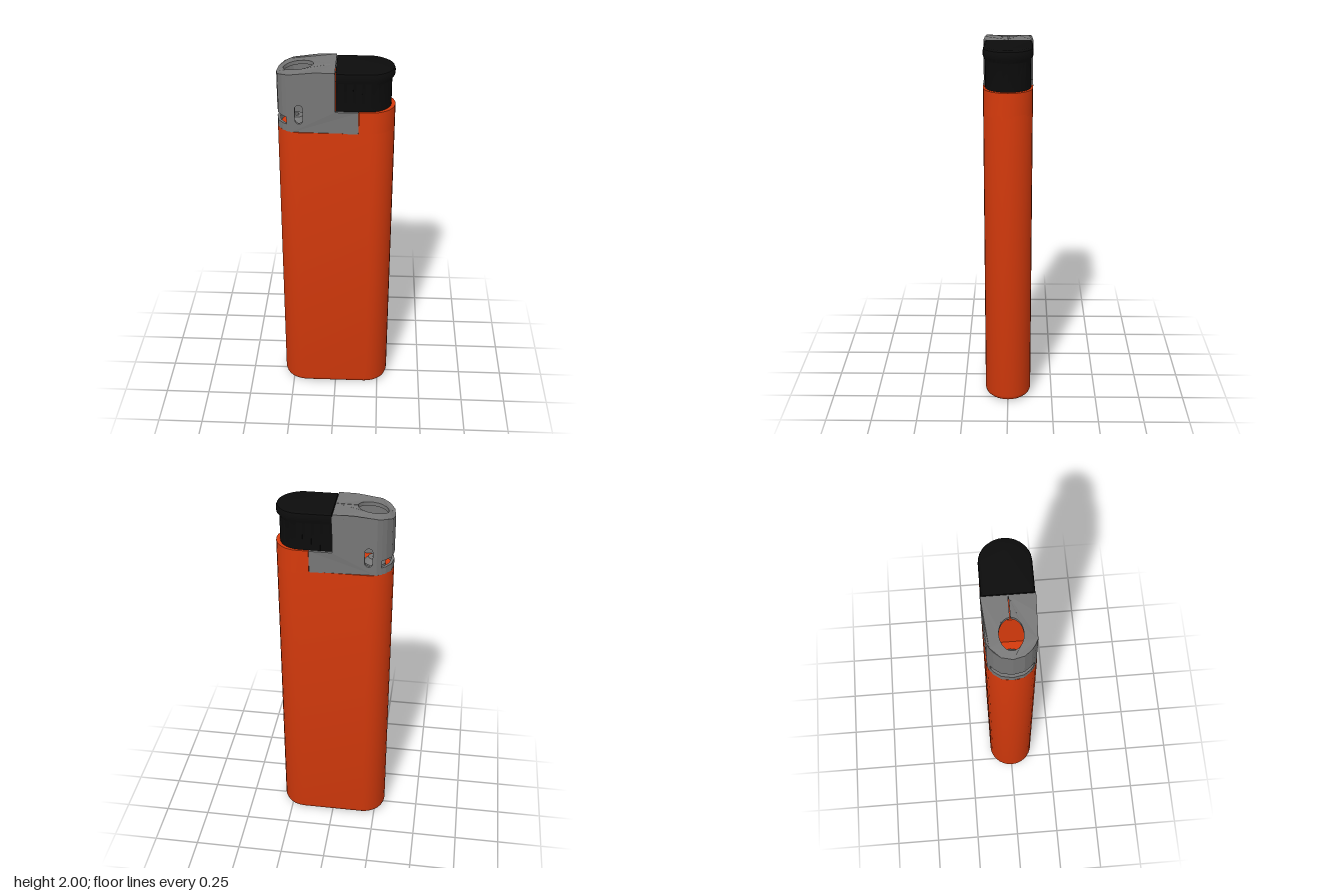
import * as THREE from 'three';
import { toCreasedNormals } from 'three/addons/utils/BufferGeometryUtils.js';

const orange = new THREE.MeshStandardMaterial({ color: 0xd63a0c });
const black = new THREE.MeshStandardMaterial({ color: 0x0c0c0c });
const grey = new THREE.MeshStandardMaterial({ color: 0x777777 });

const HX = 0.305, HZ = 0.128, CX = 0.18;

// Half depth of the rounded plan at a given x
function depthAt(x) {
  const d = Math.max(0, Math.abs(x) - CX) / (HX - CX);
  return HZ * Math.sqrt(Math.max(0, 1 - d * d));
}

// Rounded plan, counter-clockwise from above, keeping only x >= minX
function plan(minX = -1, n = 14) {
  const pts = [];
  for (const s of [1, -1]) {
    if (s < 0 && minX > -HX) continue;
    for (let i = 0; i <= n; i++) {
      const a = -Math.PI / 2 + (Math.PI * i) / n;
      pts.push([s * (CX + (HX - CX) * Math.cos(a)), -s * HZ * Math.sin(a)]);
    }
  }
  if (minX > -HX) {
    pts.push([minX, -depthAt(minX)], [minX, depthAt(minX)]);
  }
  return pts;
}

// Closed stack of plan sections; each level is [y, inset in x, inset in z]
function loft(outline, levels) {
  const n = outline.length, pos = [], idx = [];
  for (const [y, ix, iz = ix] of levels) {
    for (const [x, z] of outline) pos.push(x * (1 - ix / HX), y, z * (1 - iz / HZ));
  }
  const mid = outline.reduce((s, p) => s + p[0], 0) / n;
  const last = levels.length - 1, c = n * levels.length;
  pos.push(mid, levels[0][0], 0, mid, levels[last][0], 0);
  for (let i = 0; i < n; i++) {
    const j = (i + 1) % n;
    for (let k = 0; k < last; k++) {
      const a = k * n + i, b = k * n + j;
      idx.push(a, b, b + n, a, b + n, a + n);
    }
    idx.push(c, j, i, c + 1, last * n + i, last * n + j);
  }
  const g = new THREE.BufferGeometry();
  g.setAttribute('position', new THREE.Float32BufferAttribute(pos, 3));
  g.setIndex(idx);
  return toCreasedNormals(g, 0.6);
}

// Height of the hood's sloping top
const SLOPE = [[-0.305, 1.955], [-0.285, 1.972], [-0.225, 1.985], [-0.1, 2], [0.2, 2]];
function topY(x) {
  for (let i = 1; i < SLOPE.length; i++) {
    const [x0, y0] = SLOPE[i - 1], [x1, y1] = SLOPE[i];
    if (x <= x1) return y0 + ((y1 - y0) * (x - x0)) / (x1 - x0);
  }
  return 2;
}

const toShape = (pts) => new THREE.Shape(pts.map(([x, y]) => new THREE.Vector2(x, y)));

// Upright extrusion of a plan shape, with bottom and top heights given by x
function upright(shape, bottom, top) {
  const g = new THREE.ExtrudeGeometry(shape, { depth: 1, bevelEnabled: false, curveSegments: 24 });
  g.rotateX(-Math.PI / 2);
  const p = g.attributes.position;
  for (let i = 0; i < p.count; i++) {
    const x = p.getX(i), b = bottom(x);
    p.setY(i, b + p.getY(i) * (top(x) - b));
  }
  g.computeVertexNormals();
  return g;
}

export function createModel() {
  const model = new THREE.Group();
  const add = (name, geometry, material, parent = model) => {
    const m = new THREE.Mesh(geometry, material);
    m.name = name;
    parent.add(m);
    return m;
  };

  // Fuel tank with rounded foot and recessed underside
  add('tank', loft(plan(), [
    [0.03, 0.06, 0.045], [0, 0.055, 0.042], [0, 0.03, 0.026], [0.008, 0.014],
    [0.018, 0.005], [0.035, 0], [1.672, 0],
  ]), orange);
  add('fillPlug', new THREE.CylinderGeometry(0.025, 0.025, 0.02, 20), orange).position.set(0, 0.025, 0);
  add('tankShoulder', loft(plan(0.12), [[1.66, 0], [1.79, 0]]), orange);
  add('valveHousing', new THREE.BoxGeometry(0.23, 0.29, 0.19), orange).position.set(0.01, 1.8, 0);

  // Gas nozzle
  const nozzle = [[0.056, 1.66], [0.056, 1.69], [0.034, 1.715], [0.012, 1.715], [0.01, 1.722], [0, 1.722]];
  add('nozzle', toCreasedNormals(new THREE.LatheGeometry(
    nozzle.map(([r, y]) => new THREE.Vector2(r, y)), 32), 0.5), grey).position.x = -0.205;

  // Metal hood: faceted end with a slot through it
  const hood = new THREE.Group();
  hood.name = 'hood';
  model.add(hood);
  const half = [[-0.225, 0.12], [-0.25, 0.106], [-0.27, 0.09], [-0.295, 0.055]];
  const mirror = (pts) => pts.map(([x, z]) => [x, -z]).reverse();
  const end = [...half, [-0.305, 0], ...mirror(half)];
  const inner = ([x, z]) => [-0.225 + (x + 0.225) * 0.81, z * 0.875];
  const band = (pts) => toShape([...pts, ...pts.map(inner).reverse()]);
  const at = (y) => () => y;
  add('hoodEndLower', upright(band(end), at(1.67), at(1.71)), grey, hood);
  add('hoodEndUpper', upright(band(end), at(1.75), (x) => topY(x) - 0.008), grey, hood);
  for (const pts of [half.slice(0, 2), mirror(half.slice(0, 2))]) {
    add('hoodSlotEdge', upright(band(pts), at(1.71), at(1.75)), grey, hood);
  }

  // Hood sides: stepped plates with an upright air slot, tapering to the end
  const side = toShape([
    [-0.225, 1.67], [0.118, 1.67], [0.118, 1.79], [0, 1.79], [0, 1.992], [-0.1, 1.992], [-0.225, 1.977],
  ]);
  const slot = new THREE.Path();
  slot.absarc(-0.185, 1.802, 0.02, 0, Math.PI);
  slot.absarc(-0.185, 1.738, 0.02, Math.PI, 2 * Math.PI);
  slot.closePath();
  side.holes.push(slot);
  for (const s of [1, -1]) {
    const g = new THREE.ExtrudeGeometry(side, { depth: 0.015, bevelEnabled: false });
    g.translate(0, 0, s > 0 ? 0.115 : -0.13);
    const p = g.attributes.position;
    for (let i = 0; i < p.count; i++) {
      p.setZ(i, p.getZ(i) + s * 0.01 * Math.min(0, p.getX(i) / 0.225));
    }
    g.computeVertexNormals();
    add(s > 0 ? 'hoodFront' : 'hoodBack', g, grey, hood);
  }

  // Hood top with the flame opening and a narrow seam
  const top = toShape([[-0.002, 0.13], [-0.1, 0.1256], ...end, [-0.1, -0.1256], [-0.002, -0.13]]);
  const opening = new THREE.Path();
  opening.absellipse(-0.192, 0, 0.077, 0.058, 0.03, 2 * Math.PI - 0.03);
  opening.lineTo(-0.008, -0.0017);
  opening.lineTo(-0.008, 0.0017);
  opening.closePath();
  top.holes.push(opening);
  add('hoodTop', upright(top, (x) => topY(x) - 0.02, topY), grey, hood);

  // Thumb button with an overhanging lip and side ribs
  add('button', loft(plan(0.002), [
    [1.785, 0.021, 0.011], [1.935, 0.021, 0.011], [1.957, 0.006, 0], [1.98, 0.005, 0],
    [1.993, 0.01, 0.004], [2, 0.024, 0.014],
  ]), black);
  for (const x of [0.03, 0.075, 0.12, 0.165]) {
    for (const s of [1, -1]) {
      add('buttonRib', new THREE.BoxGeometry(0.03, 0.15, 0.01), black).position.set(x, 1.868, s * 0.115);
    }
  }
  return model;
}
